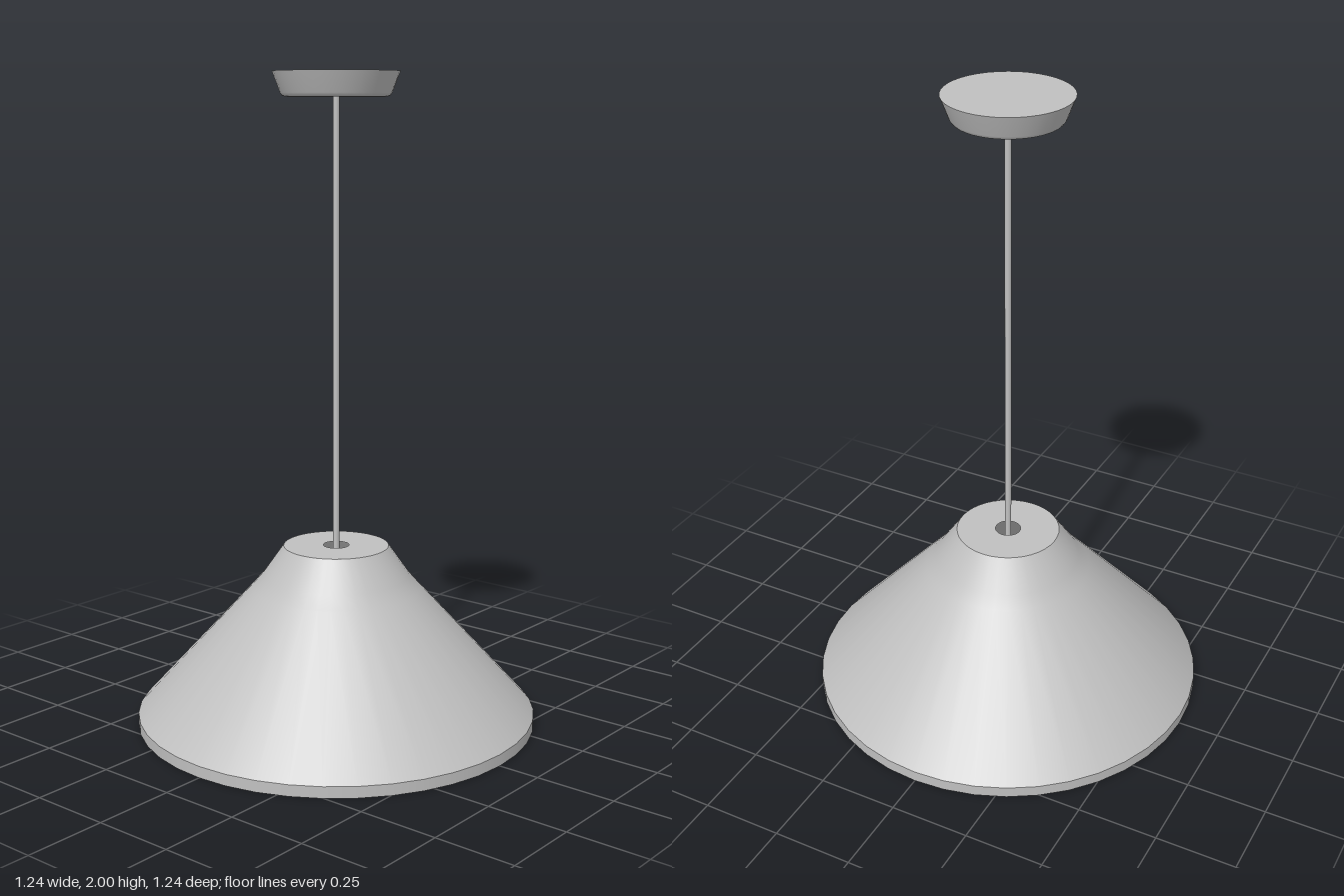
import * as THREE from 'three';

const SEGMENTS = 40;

export function createModel() {
  const group = new THREE.Group();
  group.name = 'pendantLamp';
  const grey = new THREE.MeshStandardMaterial({ color: 0xc0c0c0, side: THREE.DoubleSide });
  grey.name = 'light grey';

  const add = (name, geometry, y = 0) => {
    const mesh = new THREE.Mesh(geometry, grey);
    mesh.name = name;
    mesh.position.y = y;
    group.add(mesh);
  };
  // Each turned surface is smooth; separate surfaces meet in sharp edges
  const turn = (name, profile) =>
    add(name, new THREE.LatheGeometry(profile.map(([r, y]) => new THREE.Vector2(r, y)), SEGMENTS));

  // Open shade: upright rim, sloping cone and flat top with a cord hole
  turn('shadeRim', [[0.62, 0], [0.62, 0.035]]);
  turn('shadeCone', [[0.62, 0.035], [0.262, 0.428], [0.228, 0.467], [0.163, 0.56]]);
  turn('shadeTop', [[0.163, 0.56], [0.04, 0.56]]);

  // Ceiling canopy with a rounded lower edge
  turn('canopyBottom', [[0, 1.925], [0.15, 1.925]]);
  turn('canopySide', [[0.15, 1.925], [0.16, 1.928], [0.166, 1.937], [0.19, 2]]);
  turn('canopyTop', [[0.19, 2], [0, 2]]);

  // Cord running from the canopy through the shade to the bulb
  add('cord', new THREE.CylinderGeometry(0.01, 0.01, 1.55, 16), 1.155);

  // Round bulb with a short neck
  add('bulb', new THREE.SphereGeometry(0.115, 32, 20), 0.25);
  add('bulbNeck', new THREE.CylinderGeometry(0.035, 0.035, 0.08, 24), 0.38);

  return group;
}
